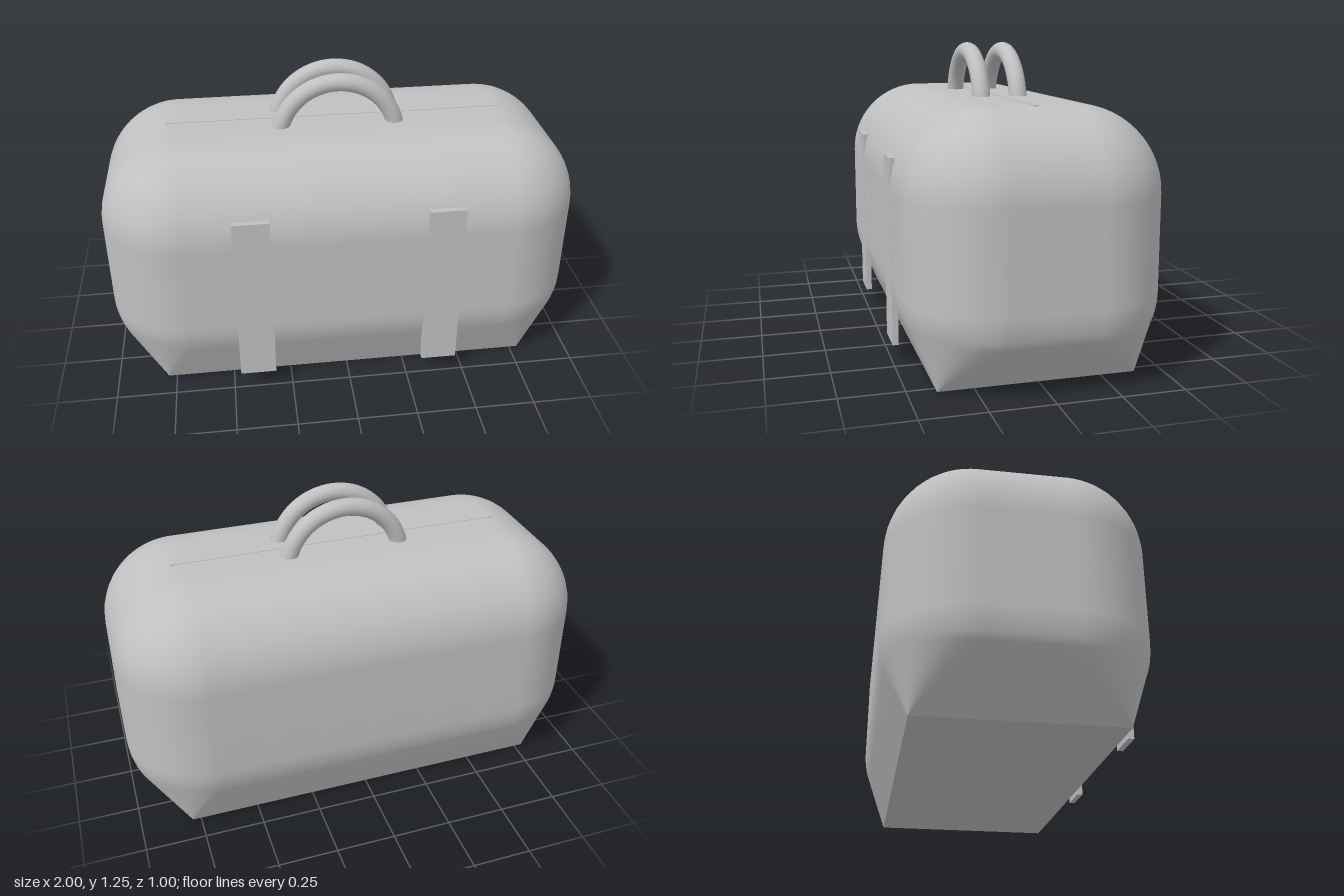
import * as THREE from 'three';

const RADIUS = 0.33, CORE_X = 0.67, CORE_Z = 0.17, LOW_Y = 0.33, HIGH_Y = 0.705;
const CORNER_STEPS = 12;

// One horizontal rounded-rectangle ring: core half sizes plus corner radius
function ring(y, coreX, coreZ, r) {
  const points = [];
  for (let q = 0; q < 4; q++) {
    const sx = q === 0 || q === 3 ? 1 : -1;
    const sz = q < 2 ? 1 : -1;
    for (let i = 0; i <= CORNER_STEPS; i++) {
      const a = (q + i / CORNER_STEPS) * Math.PI / 2;
      points.push([sx * coreX + r * Math.cos(a), y, sz * coreZ + r * Math.sin(a)]);
    }
  }
  return points;
}

// Rounded shell that tapers to a sharp rectangular foot
function bodyGeometry() {
  const rings = [ring(0, 0.785, 0.39, 0)];
  const arc = (y, from, to, steps) => {
    for (let i = 0; i <= steps; i++) {
      const p = THREE.MathUtils.degToRad(from + (to - from) * i / steps);
      rings.push(ring(y + RADIUS * Math.sin(p), CORE_X, CORE_Z, RADIUS * Math.cos(p)));
    }
  };
  arc(LOW_Y, -22, 0, 4);
  arc(HIGH_Y, 0, 90, 14);

  const n = rings[0].length, index = [];
  for (let k = 0; k < rings.length - 1; k++) {
    for (let i = 0; i < n; i++) {
      const j = (i + 1) % n;
      const l0 = k * n + i, l1 = k * n + j, u0 = l0 + n, u1 = l1 + n;
      index.push(l0, u0, u1, l0, u1, l1);
    }
  }
  // Flat top
  const centre = rings.length * n, last = centre - n;
  for (let i = 0; i < n; i++) index.push(centre, last + (i + 1) % n, last + i);

  const positions = [...rings.flat(2), 0, HIGH_Y + RADIUS, 0];
  const g = new THREE.BufferGeometry();
  g.setAttribute('position', new THREE.Float32BufferAttribute(positions, 3));
  g.setIndex(index);
  g.computeVertexNormals();
  return g;
}

export function createModel() {
  const model = new THREE.Group();
  model.name = 'duffelBag';
  const grey = new THREE.MeshStandardMaterial({ color: 0xc0c0c0 });
  grey.name = 'grey';

  const add = (name, geometry, x, y, z) => {
    const mesh = new THREE.Mesh(geometry, grey);
    mesh.name = name;
    mesh.position.set(x, y, z);
    model.add(mesh);
    return mesh;
  };

  add('body', bodyGeometry(), 0, 0, 0);
  add('base', new THREE.PlaneGeometry(1.57, 0.78).rotateX(Math.PI / 2), 0, 0, 0);

  // Zip strip along the top
  add('zip', new THREE.BoxGeometry(1.43, 0.02, 0.02), 0, 1.027, -0.005);

  // Pair of arched carrying handles, their ends sunk into the body
  for (const [name, z] of [['frontHandle', 0.078], ['backHandle', -0.08]]) {
    add(name, new THREE.TorusGeometry(0.247, 0.037, 20, 48, Math.PI), 0, 0.969, z);
  }

  // Two upright straps on the front
  for (const [name, x] of [['rightStrap', -0.395], ['leftStrap', 0.39]]) {
    add(name, new THREE.BoxGeometry(0.15, 0.75, 0.024), x, 0.45, 0.489);
  }
  return model;
}
